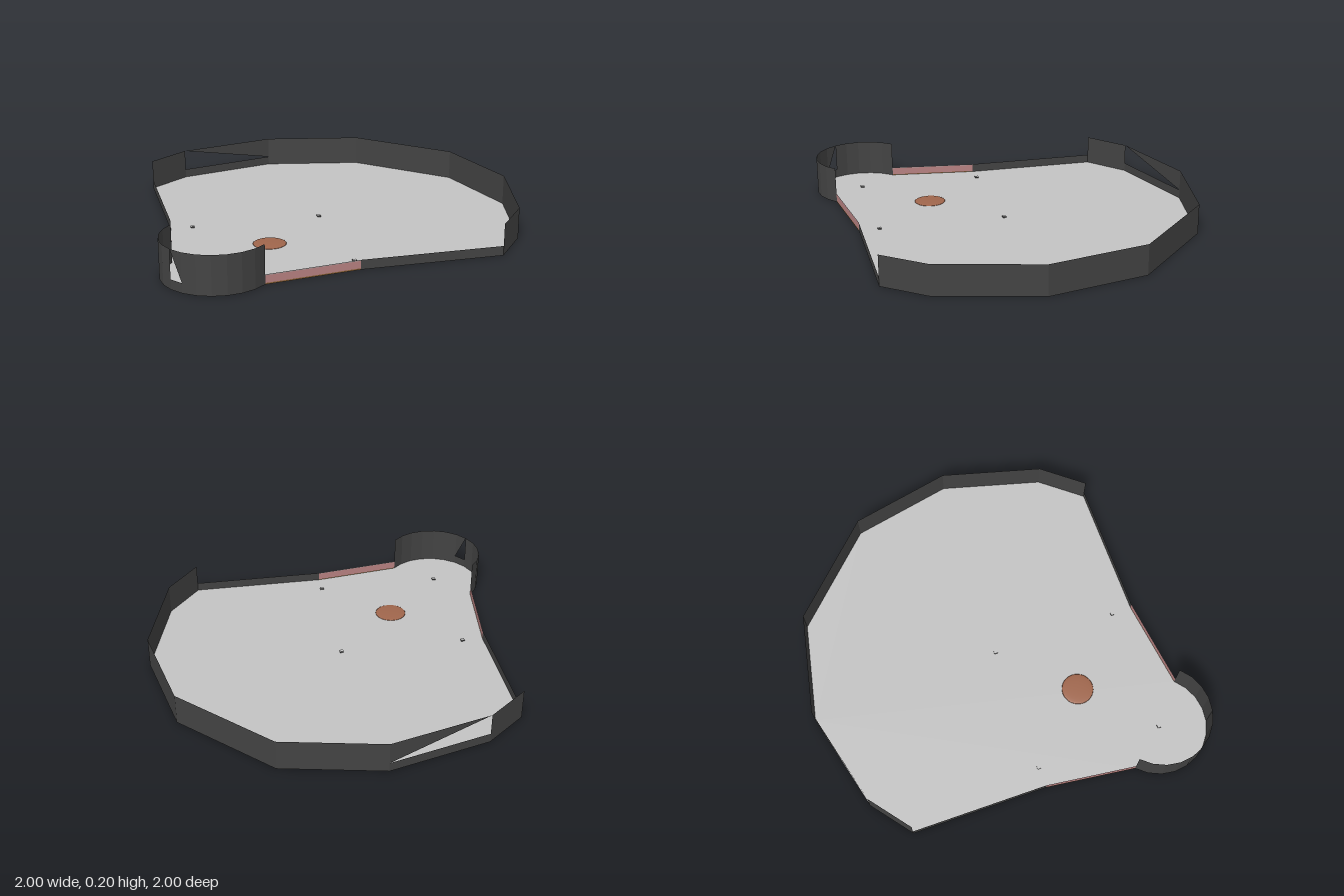
import * as THREE from 'three';

const mat = (name, color) => {
  const m = new THREE.MeshStandardMaterial({ color, side: THREE.DoubleSide });
  m.name = name;
  return m;
};

// Thin upright panels along a path of [x, z] points; the panel at halfPanel keeps only its upper triangle.
function fence(name, path, y0, y1, material, halfPanel = -1) {
  const pos = [];
  for (let i = 0; i < path.length - 1; i++) {
    const [ax, az] = path[i], [bx, bz] = path[i + 1];
    pos.push(ax, y1, az, bx, y0, bz, bx, y1, bz);
    if (i !== halfPanel) pos.push(ax, y1, az, ax, y0, az, bx, y0, bz);
  }
  const geo = new THREE.BufferGeometry();
  geo.setAttribute('position', new THREE.Float32BufferAttribute(pos, 3));
  geo.computeVertexNormals();
  const mesh = new THREE.Mesh(geo, material);
  mesh.name = name;
  return mesh;
}

export function createModel() {
  const group = new THREE.Group();
  group.name = 'ballField';

  const ground = mat('groundGrey', 0xc4c4c4);
  const wall = mat('wallCharcoal', 0x434343);
  const clay = mat('moundClay', 0xa0664c);
  const brick = mat('brickPink', 0xb98282);
  const coping = mat('copingGrey', 0xa89c9c);
  const trim = mat('trimBrown', 0x8a6238);

  // Outline pieces, mirrored about the home-to-centre-field diagonal
  const LOW = 0.05, HIGH = 0.165, BACK = 0.2;
  const outfield = [[-0.855, -0.69], [-0.64, -0.86], [-0.1, -1], [0.435, -0.89],
    [0.885, -0.44], [1, 0.1], [0.858, 0.635], [0.685, 0.85]];
  const backstop = [];
  for (let i = 0; i <= 12; i++) {
    const a = THREE.MathUtils.degToRad(227 - i * 184 / 12);
    backstop.push([-0.73 + 0.27 * Math.cos(a), 0.73 + 0.27 * Math.sin(a)]);
  }
  const leftCorner = [-0.855, 0.05], rightCorner = [-0.05, 0.85];

  // Field floor
  const outline = [...outfield, rightCorner, ...backstop.slice().reverse(), leftCorner];
  const shape = new THREE.Shape(outline.map(([x, z]) => new THREE.Vector2(x, -z)));
  const floor = new THREE.Mesh(new THREE.ShapeGeometry(shape).rotateX(-Math.PI / 2), ground);
  floor.position.y = 0.003;
  floor.name = 'fieldFloor';
  group.add(floor);

  // Low base walls and the taller walls standing on them
  group.add(
    fence('outfieldBase', outfield, 0, LOW, wall),
    fence('outfieldWall', outfield, LOW, HIGH, wall, 1),
    fence('backstopBase', backstop, 0, LOW, wall),
    fence('backstopWall', backstop, LOW, BACK, wall, 5),
    fence('rightFoulWall', [outfield[7], rightCorner], 0, LOW, wall),
    fence('leftFoulWall', [leftCorner, outfield[0]], 0, LOW, wall),
  );

  // Brick walls beside the backstop: trim, brick and coping bands
  const sides = { right: [rightCorner, backstop[12]], left: [backstop[0], leftCorner] };
  for (const [side, path] of Object.entries(sides)) {
    group.add(
      fence(side + 'BrickTrim', path, 0, 0.007, trim),
      fence(side + 'BrickWall', path, 0.007, 0.045, brick),
      fence(side + 'BrickCoping', path, 0.045, LOW, coping),
    );
  }

  // Pitcher's mound, a shallow dome showing on both sides of the floor
  const mound = new THREE.Mesh(new THREE.SphereGeometry(0.086, 32, 12).scale(1, 0.07, 1), clay);
  mound.position.set(-0.4, 0.006, 0.4);
  mound.name = 'mound';
  group.add(mound);

  // Four bases with pale tops and dark sides
  const baseGeo = new THREE.BoxGeometry(0.02, 0.007, 0.02);
  for (const x of [-0.74, -0.05]) {
    for (const z of [0.05, 0.74]) {
      const base = new THREE.Mesh(baseGeo, [wall, wall, ground, ground, wall, wall]);
      base.position.set(x, 0.0066, z);
      base.name = 'base';
      group.add(base);
    }
  }
  return group;
}
